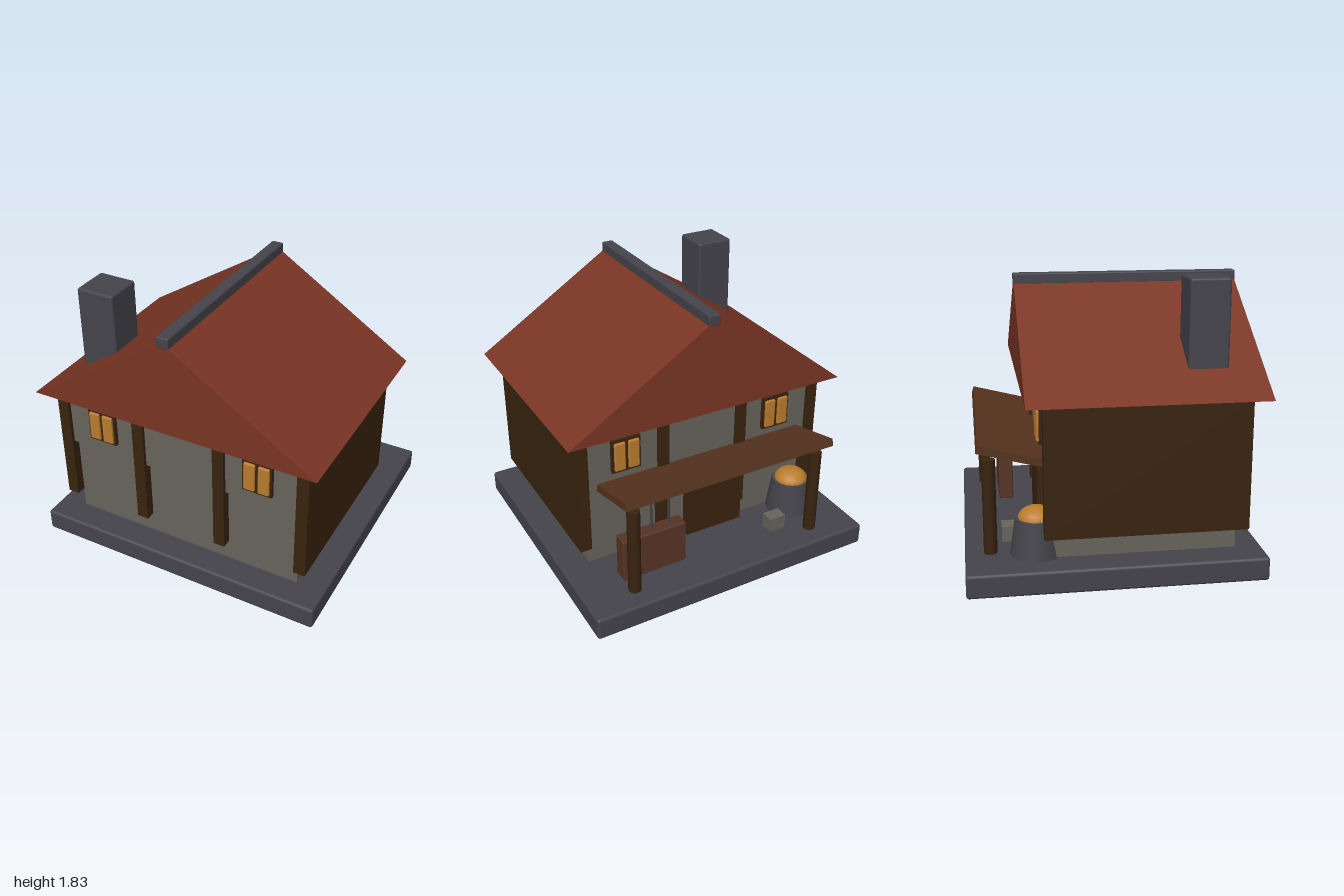
import * as THREE from 'three';
import { RoundedBoxGeometry } from 'three/addons/geometries/RoundedBoxGeometry.js';

export function createModel() {
  const house = new THREE.Group();
  house.name = 'house';

  const paint = (name, color) => {
    const m = new THREE.MeshStandardMaterial({ color });
    m.name = name;
    return m;
  };
  const stone = paint('dark stone', 0x45444b);
  const plaster = paint('grey wall', 0x67645b);
  const timber = paint('dark timber', 0x39240f);
  const plank = paint('brown plank', 0x57341f);
  const rackWood = paint('reddish wood', 0x583427);
  const tiles = paint('red roof', 0x7a3524);
  const glow = paint('amber glow', 0xbb7c2e);

  const add = (name, geometry, material, x = 0, y = 0, z = 0) => {
    const mesh = new THREE.Mesh(geometry, material);
    mesh.name = name;
    mesh.position.set(x, y, z);
    house.add(mesh);
    return mesh;
  };
  // Box given by its limits on each axis; r rounds its edges
  const box = (name, material, [x0, x1], [y0, y1], [z0, z1], r = 0) => {
    const size = [x1 - x0, y1 - y0, z1 - z0];
    const geometry = r ? new RoundedBoxGeometry(...size, 2, r) : new THREE.BoxGeometry(...size);
    return add(name, geometry, material, (x0 + x1) / 2, (y0 + y1) / 2, (z0 + z1) / 2);
  };

  // Base and walls, the upper storey overhanging front and back
  box('base', stone, [-1, 1], [0, 0.15], [-0.925, 0.925], 0.018);
  box('lowerWall', plaster, [-0.813, 0.813], [0.157, 0.73], [-0.39, 0.75]);
  box('upperWall', plaster, [-0.83, 0.83], [0.73, 1.14], [-0.43, 0.79]);

  // Timber frames running the whole depth of the house
  for (const x of [-0.85, -0.287, 0.287, 0.85]) {
    box('timberFrame', timber, [x - 0.039, x + 0.039], [0.3, 1.138], [-0.45, 0.815]);
  }
  box('door', timber, [-0.31, 0.11], [0.152, 0.72], [-0.449, -0.38]);

  // Gable roof, ridge and chimney
  const gable = new THREE.Shape([
    new THREE.Vector2(-0.975, 1.135),
    new THREE.Vector2(0.975, 1.135),
    new THREE.Vector2(0, 1.755),
  ]);
  add('roof', new THREE.ExtrudeGeometry(gable, { depth: 1.47, bevelEnabled: false }), tiles, 0, 0, -0.555);
  box('ridge', stone, [-0.04, 0.04], [1.725, 1.795], [-0.558, 0.918], 0.008);
  box('chimney', stone, [-0.735, -0.482], [1.2, 1.832], [0.445, 0.698], 0.015);

  // Two-pane windows on the front and back
  for (const [wall, side] of [[0.79, 1], [-0.43, -1]]) {
    for (const x of [-0.553, 0.553]) {
      add('windowFrame', new THREE.BoxGeometry(0.198, 0.232, 0.05), timber, x, 0.941, wall);
      for (const dx of [-0.048, 0.048]) {
        add('windowPane', new RoundedBoxGeometry(0.074, 0.196, 0.04, 2, 0.008), glow,
          x + dx, 0.94, wall + side * 0.022);
      }
    }
  }

  // Back awning rising outward on two round posts
  const awning = add('awning', new THREE.BoxGeometry(1.5, 0.05, 0.43), plank, 0, 0.79, -0.627);
  awning.rotation.x = 0.25;
  for (const x of [-0.67, 0.67]) {
    add('awningPost', new THREE.CylinderGeometry(0.042, 0.042, 0.605, 12), timber, x, 0.4525, -0.767);
  }

  // Forge with glowing coals and a small block beside it
  add('forge', new THREE.CylinderGeometry(0.13, 0.165, 0.235, 14), stone, -0.7, 0.267, -0.485);
  const coals = add('coals', new THREE.SphereGeometry(0.115, 18, 12), glow, -0.7, 0.375, -0.485);
  coals.scale.y = 0.7;
  box('smallBlock', plaster, [-0.52, -0.4], [0.15, 0.25], [-0.69, -0.6]);

  // Tool rack with three upright rods
  box('toolRack', rackWood, [0.25, 0.7], [0.157, 0.457], [-0.675, -0.575], 0.008);
  for (const x of [0.35, 0.475, 0.6]) {
    add('toolRod', new THREE.CylinderGeometry(0.008, 0.008, 0.24, 8), stone, x, 0.535, -0.623);
  }

  return house;
}
